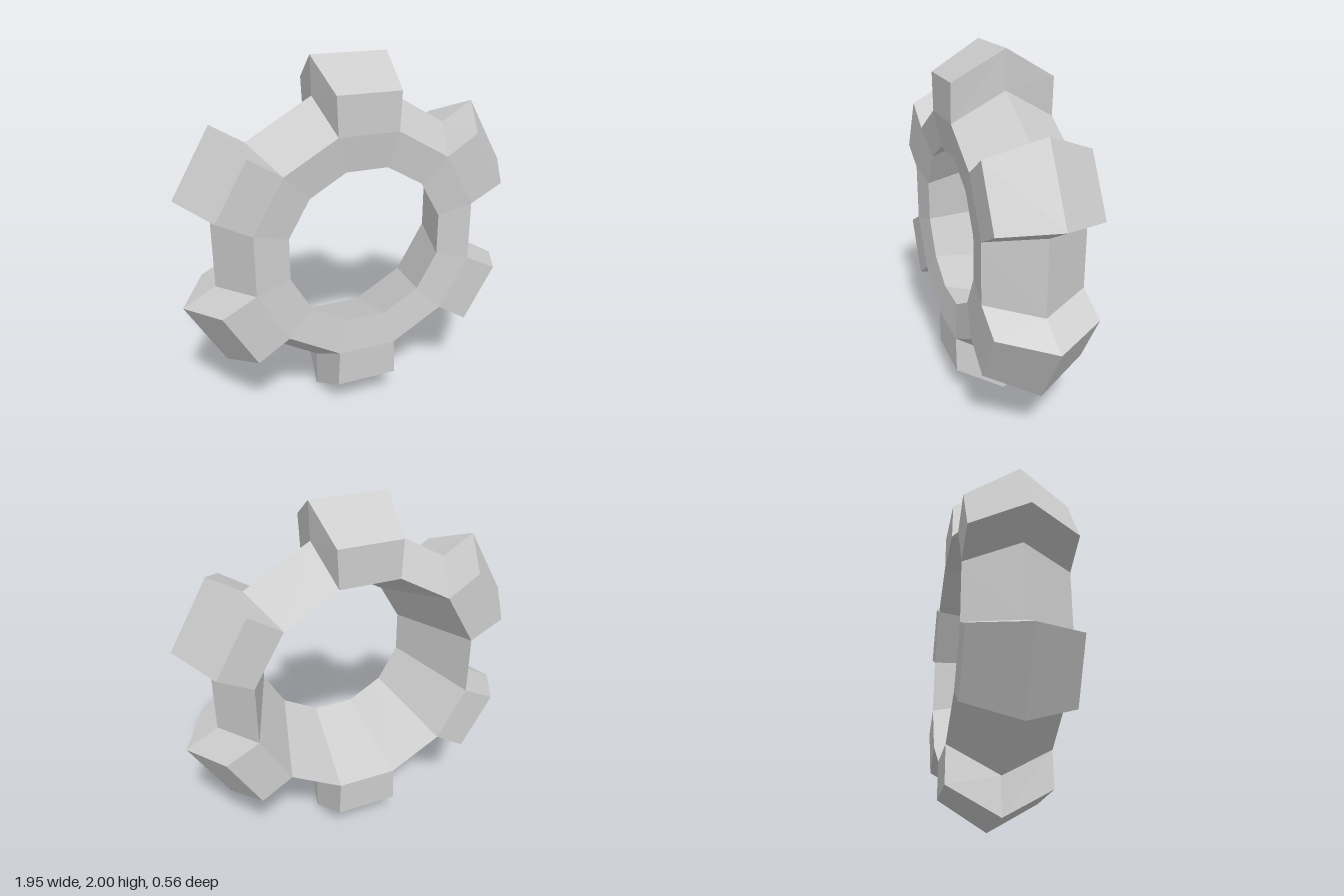
import * as THREE from 'three';

const SECTORS = 12;
const TAN = Math.tan(Math.PI / SECTORS);

// Cross-section corners of one sector, pointing up +y: [radius, half width, z]
const corner = (r, z, hw = r * TAN) => [r, hw, z];
const bore = corner(0.437, 0.255);
const rimFront = corner(0.63, 0.28);
const rimMid = corner(0.79, 0);
const rimBack = corner(0.63, -0.28);
const tipFront = corner(0.84, 0.28, 0.178);
const tipMid = corner(1.0, 0, 0.217);
const tipBack = corner(0.84, -0.28, 0.178);

const at = ([r, hw, z], side) => [side * hw, r, z];

function pushQuad(out, a, b, c, d) {
  out.push(...a, ...b, ...c, ...a, ...c, ...d);
}

// Faces spanning the sector's width along a profile
function pushStrip(out, profile) {
  for (let i = 0; i < profile.length - 1; i++) {
    const [a, b] = [profile[i], profile[i + 1]];
    pushQuad(out, at(a, -1), at(a, 1), at(b, 1), at(b, -1));
  }
}

// The same flank on both sides of a tooth
function pushFlanks(out, a, b, c, d) {
  pushQuad(out, at(a, 1), at(b, 1), at(c, 1), at(d, 1));
  pushQuad(out, at(d, -1), at(c, -1), at(b, -1), at(a, -1));
}

function toGeometry(positions) {
  const g = new THREE.BufferGeometry();
  g.setAttribute('position', new THREE.Float32BufferAttribute(positions, 3));
  g.computeVertexNormals();
  return g;
}

export function createModel() {
  const model = new THREE.Group();
  model.name = 'gearRing';
  const material = new THREE.MeshStandardMaterial({
    color: 0xcccccc, flatShading: true, side: THREE.DoubleSide,
  });

  // Front face and flared bore, shared by every sector
  const hub = [];
  pushStrip(hub, [rimBack, bore, rimFront]);

  // Ridged valley between teeth
  const valley = [];
  pushStrip(valley, [rimFront, rimMid, rimBack]);

  // Tooth with a ridged tip
  const tooth = [];
  pushStrip(tooth, [rimFront, tipFront, tipMid, tipBack, rimBack]);
  pushFlanks(tooth, rimFront, rimMid, tipMid, tipFront);
  pushFlanks(tooth, rimMid, rimBack, tipBack, tipMid);

  const hubGeometry = toGeometry(hub);
  const valleyGeometry = toGeometry(valley);
  const toothGeometry = toGeometry(tooth);

  for (let i = 0; i < SECTORS; i++) {
    const isTooth = i % 2 === 0;
    const sector = new THREE.Group();
    sector.name = 'sector';
    const inner = new THREE.Mesh(hubGeometry, material);
    inner.name = 'ringHub';
    const outer = new THREE.Mesh(isTooth ? toothGeometry : valleyGeometry, material);
    outer.name = isTooth ? 'tooth' : 'valley';
    sector.add(inner, outer);
    sector.position.y = 1;
    sector.rotation.z = (i * 2 * Math.PI) / SECTORS;
    model.add(sector);
  }
  return model;
}
